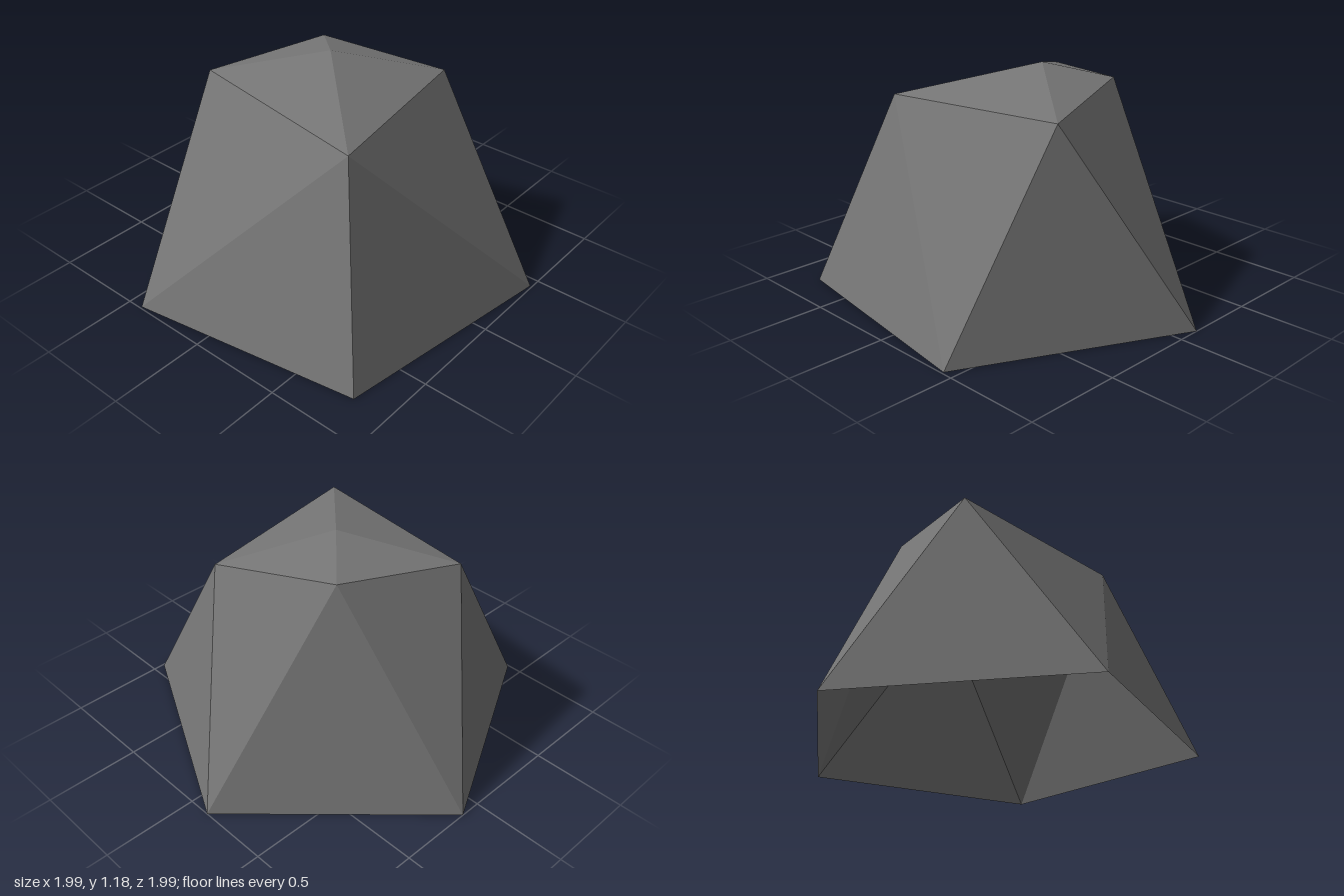
import * as THREE from 'three';

// Ground corners, counterclockwise seen from above
const base = [[-1, 0, -0.11], [-0.42, 0, 0.99], [0.81, 0, 0.79], [0.99, 0, -0.44], [-0.12, 0, -1]];
// Shoulder corners and the peak
const [frontLeft, frontRight, backRight, backLeft] =
  [[-0.53, 1.05, 0.32], [0.5, 1.02, 0.47], [0.33, 1.02, -0.5], [-0.3, 1.1, -0.29]];
const peak = [-0.04, 1.18, -0.04];

const stone = new THREE.MeshStandardMaterial({ color: 0x757575, flatShading: true, side: THREE.DoubleSide });
stone.name = 'grey stone';

function facets(name, triangles) {
  const geometry = new THREE.BufferGeometry();
  geometry.setAttribute('position', new THREE.Float32BufferAttribute(triangles.flat(2), 3));
  geometry.computeVertexNormals();
  const mesh = new THREE.Mesh(geometry, stone);
  mesh.name = name;
  return mesh;
}

export function createModel() {
  const group = new THREE.Group();
  group.name = 'rock';
  const [a, b, c, d, e] = base;

  // Sloping sides, open underneath
  group.add(facets('rockSides', [
    [a, b, frontLeft], [b, frontRight, frontLeft],
    [b, c, frontRight], [c, d, frontRight],
    [d, backRight, frontRight], [d, e, backRight],
    [e, backLeft, backRight], [e, a, backLeft],
    [a, frontLeft, backLeft],
  ]));

  // Shallow faceted top around the peak
  const shoulder = [frontLeft, frontRight, backRight, backLeft];
  group.add(facets('rockTop', shoulder.map((p, i) => [peak, p, shoulder[(i + 1) % 4]])));

  return group;
}
